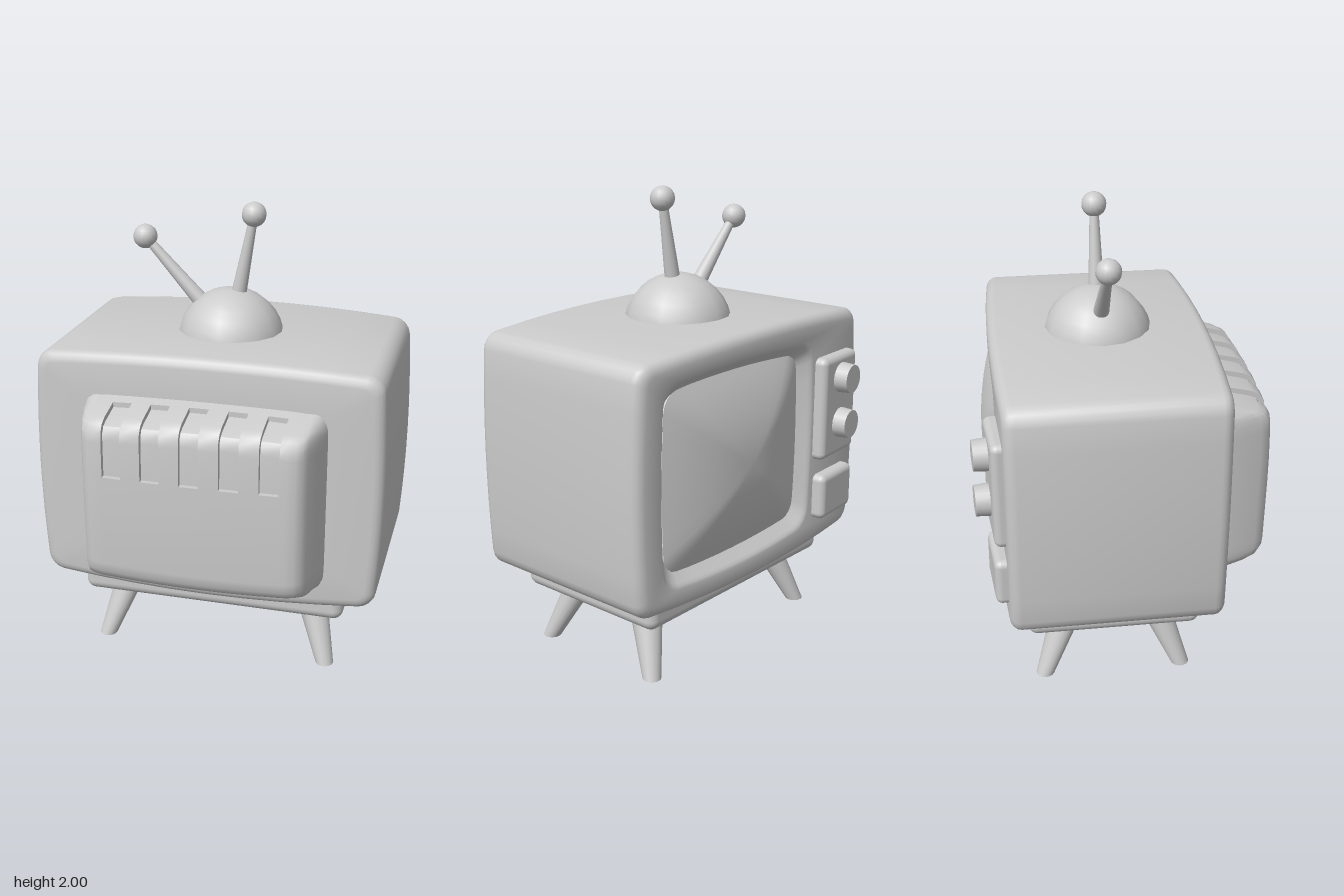
import * as THREE from 'three';
import { toCreasedNormals } from 'three/addons/utils/BufferGeometryUtils.js';
import { RoundedBoxGeometry } from 'three/addons/geometries/RoundedBoxGeometry.js';

const material = new THREE.MeshStandardMaterial({ color: 0xcccccc });

function add(parent, name, geometry, x = 0, y = 0, z = 0) {
  const mesh = new THREE.Mesh(geometry, material);
  mesh.name = name;
  mesh.position.set(x, y, z);
  parent.add(mesh);
  return mesh;
}

// Skin between successive rows of points, skipping collapsed triangles
function loft(rows, closed, crease = 0.6) {
  const out = [], n = rows[0].length, area = new THREE.Triangle();
  const tri = (a, b, c) => {
    area.set(a, b, c);
    if (area.getArea() > 1e-9) for (const p of [a, b, c]) out.push(p.x, p.y, p.z);
  };
  for (let i = 0; i < rows.length - 1; i++) {
    for (let j = 0; j < (closed ? n : n - 1); j++) {
      const k = (j + 1) % n;
      const a = rows[i][j], b = rows[i][k], c = rows[i + 1][k], d = rows[i + 1][j];
      tri(a, d, c);
      tri(a, c, b);
    }
  }
  const g = new THREE.BufferGeometry();
  g.setAttribute('position', new THREE.Float32BufferAttribute(out, 3));
  return toCreasedNormals(g, crease);
}

// Barrel-sided rounded rectangle; zb bows the ring along z with x
function ring(cx, cy, hx, hy, r, z, bx, by, zb = 0) {
  const pts = [], corners = [[1, 1], [-1, 1], [-1, -1], [1, -1]];
  const flat = [];
  corners.forEach(([sx, sy], q) => {
    for (let i = 0; i <= 4; i++) {
      const a = (q + i / 4) * Math.PI / 2;
      flat.push([sx * (hx - r) + r * Math.cos(a), sy * (hy - r) + r * Math.sin(a)]);
    }
  });
  flat.forEach(([x, y], i) => {
    const [nx, ny] = flat[(i + 1) % flat.length];
    const steps = i % 5 === 4 ? 8 : 1;
    for (let s = 0; s < steps; s++) {
      const px = x + (nx - x) * s / steps, py = y + (ny - y) * s / steps;
      const X = cx + px + bx * (px / hx) * (1 - (py / hy) ** 2);
      const Y = cy + py + by * (py / hy) * (1 - (px / hx) ** 2);
      pts.push(new THREE.Vector3(X, Y, z + zb * (1 - (X / 0.74) ** 2)));
    }
  });
  return pts;
}

// Cabinet shell, ending in the bevelled screen opening
function cabinetGeometry() {
  const rows = [], R = 0.045;
  const outer = (inset, z, zb) =>
    rows.push(ring(0, 0.9, 0.737 - inset, 0.518 - inset, 0.065 - inset * 0.6, z, 0.022, 0.03, zb));
  for (const s of [0.001, 0.35, 0.7])
    rows.push(ring(0, 0.9, 0.69 * s, 0.47 * s, 0.038 * s, 0.385, 0.022 * s, 0.03 * s, 0.025));
  for (let i = 0; i <= 4; i++) {
    const a = i / 4 * Math.PI / 2;
    outer(R * (1 - Math.sin(a)), 0.385 - R * (1 - Math.cos(a)), 0.025);
  }
  for (let i = 4; i >= 0; i--) {
    const a = i / 4 * Math.PI / 2;
    outer(R * (1 - Math.sin(a)), -0.515 + R * (1 - Math.cos(a)), -0.025);
  }
  for (const [inset, z] of [[0, -0.515], [0.012, -0.511], [0.022, -0.5], [0.055, -0.465], [0.07, -0.45]])
    rows.push(ring(0.13, 0.9, 0.49 - inset, 0.43 - inset, 0.085 - inset * 0.4, z, 0.015, 0.025, -0.025));
  return loft(rows, true);
}

function screenGeometry() {
  const rows = [];
  for (let i = 0; i <= 10; i++) {
    const s = Math.max(1 - i / 10, 0.001);
    rows.push(ring(0.13, 0.9, 0.435 * s, 0.375 * s, 0.07 * s, -0.482 - 0.103 * (1 - s * s), 0.015 * s, 0.025 * s));
  }
  return loft(rows, true);
}

// Tapered rear housing, skinned across x, with vent slots sunk over its upper edge
function housingGeometry() {
  const ends = [[0.53, 0.36, 0.35], [0.52, 0.42, 0.385], [0.5, 0.485, 0.405], [0.475, 0.565, 0.412],
    [0.46, 0.595, 0.412], [0.435, 0.612, 0.412]];
  const section = (x, zm, H, sunk) => {
    const D = zm - 0.36, c = 0.857, p = [];
    const put = (f, y, slot = 0, dz = 0, dy = 0) => {
      const k = sunk && slot ? 0.022 : 0;
      p.push(new THREE.Vector3(x, y - dy * k, 0.36 + D * f - dz * k));
    };
    const top = c + H, low = c - H;
    put(0, top);
    put(0.35, top - 0.025);
    put(0.35, top - 0.025, 1, 0, 1);
    put(0.75, top - 0.05, 1, 0.3, 1);
    put(0.89, top - 0.068, 1, 0.7, 0.7);
    put(0.97, top - 0.1, 1, 1, 0.3);
    put(0.985, top - 0.14, 1, 1, 0);
    put(1, 0.98, 1, 1, 0);
    put(1, 0.98);
    put(1, c);
    put(0.985, low + 0.14);
    put(0.97, low + 0.1);
    put(0.89, low + 0.068);
    put(0.75, low + 0.05);
    put(0.35, low + 0.025);
    put(0, low);
    return p;
  };
  const inner = (x, sunk) => section(x, 0.628 - 0.06 * x * x, 0.425 - 0.06 * x * x, sunk);
  const rows = ends.map(([x, z, H]) => section(x, z, H, false));
  rows.push(inner(0.4, false));
  for (let i = 2; i >= -2; i--) {
    const c = i * 0.165;
    rows.push(inner(c + 0.041, false), inner(c + 0.041, true), inner(c - 0.041, true), inner(c - 0.041, false));
  }
  rows.push(inner(-0.4, false));
  for (const [x, z, H] of [...ends].reverse()) rows.push(section(-x, z, H, false));
  return loft(rows, false);
}

// Tapered rod between two points
function rod(parent, name, from, to, r0, r1) {
  const a = new THREE.Vector3(...from), b = new THREE.Vector3(...to), d = b.clone().sub(a);
  const mesh = add(parent, name, new THREE.CylinderGeometry(r1, r0, d.length(), 16));
  mesh.position.copy(a).add(b).multiplyScalar(0.5);
  mesh.quaternion.setFromUnitVectors(new THREE.Vector3(0, 1, 0), d.normalize());
  return mesh;
}

// Splayed leg whose foot is cut level with the floor
function legGeometry(sx, sz) {
  const g = new THREE.CylinderGeometry(0.073, 0.04, 0.28, 16);
  g.translate(0, 0.14, 0);
  const p = g.attributes.position;
  for (let i = 0; i < p.count; i++) {
    const t = p.getY(i) / 0.28;
    p.setX(i, p.getX(i) + sx * (0.515 - 0.09 * t));
    p.setZ(i, p.getZ(i) + sz * (0.303 - 0.115 * t));
  }
  g.computeVertexNormals();
  return toCreasedNormals(g, 0.7);
}

export function createModel() {
  const model = new THREE.Group();
  model.name = 'television';
  const midZ = -0.065;

  add(model, 'cabinet', cabinetGeometry());
  add(model, 'screen', screenGeometry());
  add(model, 'rearHousing', housingGeometry());

  // Plinth and legs
  add(model, 'plinth', new RoundedBoxGeometry(1.19, 0.17, 0.75, 4, 0.045), 0, 0.34, midZ);
  for (const sx of [-1, 1]) for (const sz of [-1, 1]) add(model, 'leg', legGeometry(sx, sz), 0, 0, midZ);

  // Control panels follow the slight curve of the screen side
  const controls = new THREE.Group();
  controls.name = 'controls';
  controls.position.set(-0.53, 0, -0.535);
  controls.rotation.y = 0.08;
  model.add(controls);
  add(controls, 'knobPanel', new RoundedBoxGeometry(0.29, 0.47, 0.08, 4, 0.03), 0, 1.01, 0);
  add(controls, 'lowerPanel', new RoundedBoxGeometry(0.27, 0.21, 0.08, 4, 0.03), 0, 0.595, -0.005);
  for (const y of [1.14, 0.93]) {
    const knob = add(controls, 'knob', new THREE.CylinderGeometry(0.07, 0.064, 0.08, 20), 0, y, -0.06);
    knob.rotation.x = Math.PI / 2;
  }

  // Aerial: dome, two rods and ball tips
  add(model, 'aerialDome',
    new THREE.SphereGeometry(0.237, 16, 8, 0, Math.PI * 2, 0, Math.PI / 2), 0, 1.388, midZ);
  for (const [base, tip] of [[[-0.11, 1.53], [-0.385, 1.83]], [[0.025, 1.55], [0.1, 1.95]]]) {
    rod(model, 'aerialRod', [...base, midZ], [...tip, midZ], 0.036, 0.018);
    add(model, 'aerialTip', new THREE.SphereGeometry(0.053, 16, 10), ...tip, midZ);
  }
  return model;
}
